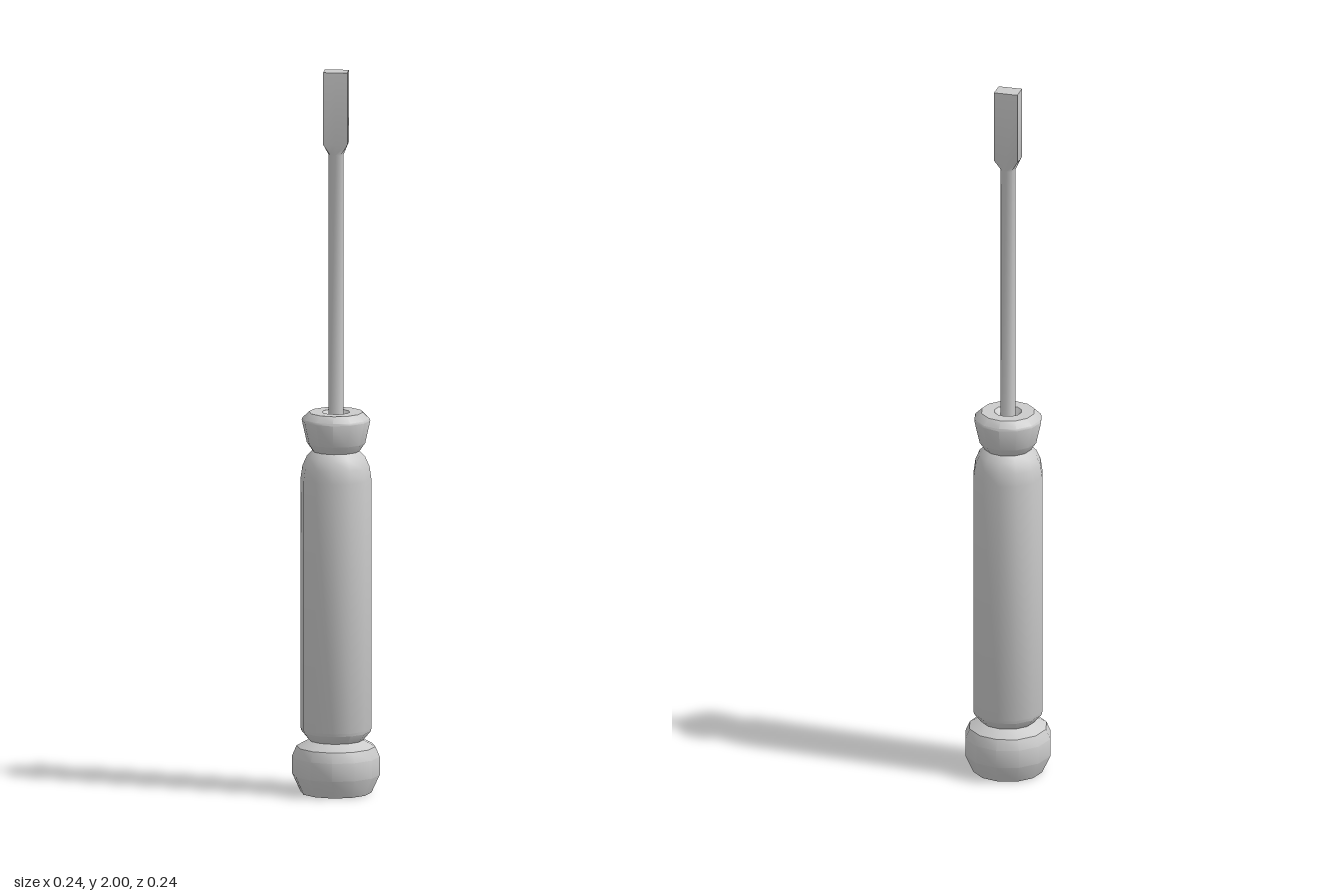
import * as THREE from 'three';
import { toCreasedNormals } from 'three/addons/utils/BufferGeometryUtils.js';

const steel = new THREE.MeshStandardMaterial({ color: 0xcccccc });
steel.name = 'grey';

// Twelve-sided turned part from [radius, height] pairs, listed bottom to top
function turned(name, profile) {
  const points = profile.map(([r, y]) => new THREE.Vector2(r, y));
  const mesh = new THREE.Mesh(toCreasedNormals(new THREE.LatheGeometry(points, 12), 0.6), steel);
  mesh.name = name;
  return mesh;
}

// Round rod that flares into a rectangular tip
function makeBlade() {
  const levels = [
    { y: 1.03, x: 0.021, z: 0.021, square: false },
    { y: 1.77, x: 0.021, z: 0.021, square: false },
    { y: 1.80, x: 0.033, z: 0.024, square: true },
    { y: 2.00, x: 0.033, z: 0.024, square: true },
  ];
  const geometry = new THREE.CylinderGeometry(1, 1, 3, 8, 3);
  const pos = geometry.attributes.position;
  const squareOff = (v) => THREE.MathUtils.clamp(v * Math.SQRT2, -1, 1);
  for (let i = 0; i < pos.count; i++) {
    const level = levels[Math.round(pos.getY(i) + 1.5)];
    const shape = level.square ? squareOff : (v) => v;
    pos.setXYZ(i, shape(pos.getX(i)) * level.x, level.y, shape(pos.getZ(i)) * level.z);
  }
  const mesh = new THREE.Mesh(toCreasedNormals(geometry, 0.85), steel);
  mesh.name = 'blade';
  return mesh;
}

export function createModel() {
  const model = new THREE.Group();
  model.name = 'screwdriver';

  // Rounded end knob with a recess underneath
  model.add(turned('endKnob', [
    [0, 0.03], [0.045, 0.03], [0.055, 0], [0.097, 0], [0.12, 0.05],
    [0.12, 0.1], [0.108, 0.128], [0.075, 0.146],
  ]));
  // Long grip
  model.add(turned('grip', [
    [0.075, 0.146], [0.095, 0.17], [0.097, 0.178], [0.097, 0.87],
    [0.092, 0.905], [0.08, 0.932], [0.065, 0.948],
  ]));
  // Flared collar with a dimple around the blade
  model.add(turned('collar', [
    [0.065, 0.948], [0.08, 0.97], [0.094, 1.032], [0.092, 1.038],
    [0.074, 1.055], [0.038, 1.055], [0.021, 1.035], [0, 1.035],
  ]));
  model.add(makeBlade());
  return model;
}
